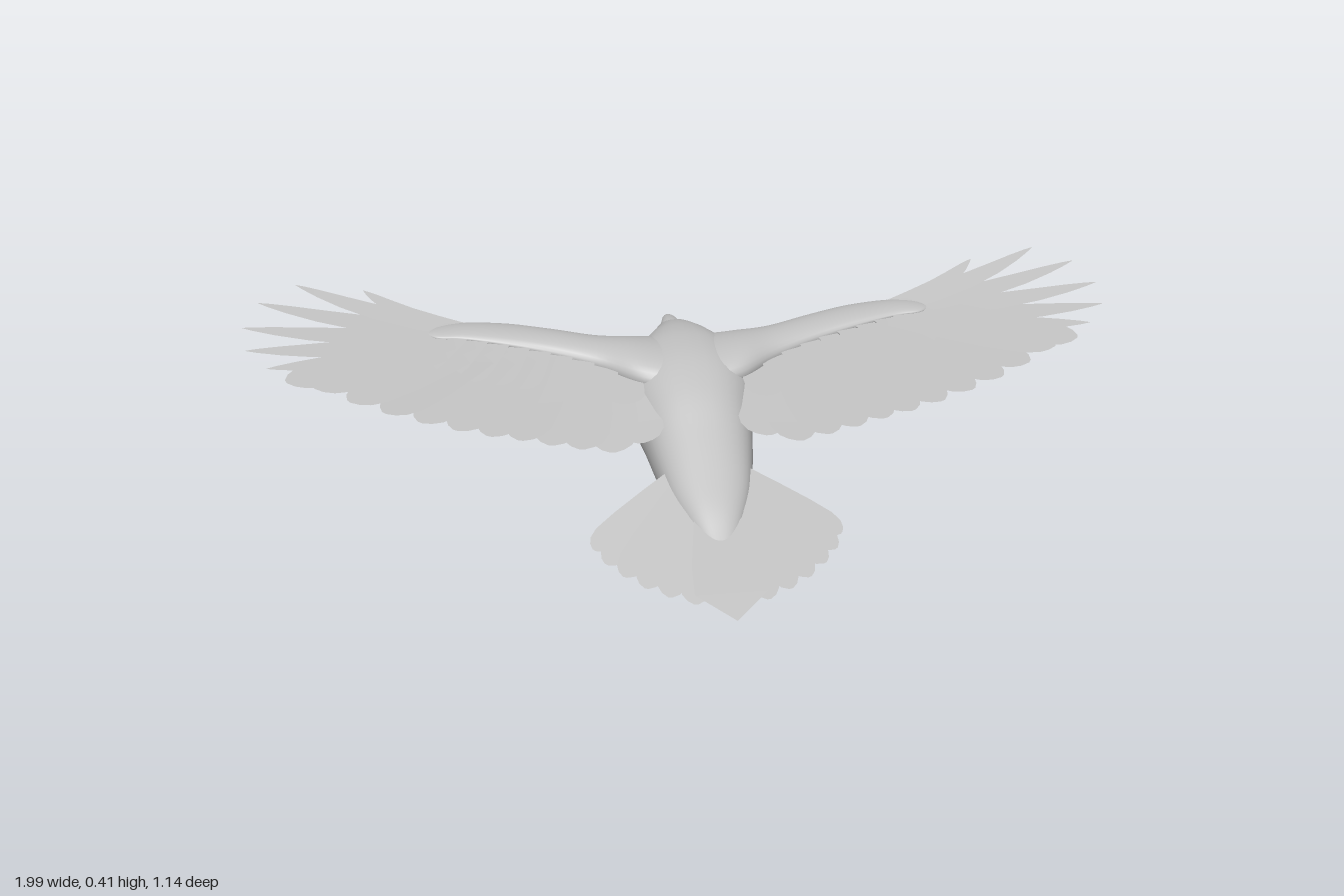
import * as THREE from 'three';

const V = (x, y, z) => new THREE.Vector3(x, y, z);
const plumage = new THREE.MeshStandardMaterial({ color: 0xc0c0c0, side: THREE.DoubleSide });
plumage.name = 'plumage grey';

function add(parent, name, geometry) {
  const mesh = new THREE.Mesh(geometry, plumage);
  mesh.name = name;
  parent.add(mesh);
  return mesh;
}

function meshFrom(pos, idx) {
  const g = new THREE.BufferGeometry();
  g.setAttribute('position', new THREE.Float32BufferAttribute(pos, 3));
  g.setIndex(idx);
  g.computeVertexNormals();
  return g;
}

// Smooth skin through oval sections [x, y, z, half width, half height], set across z or x
function loft(sections, axis, power = 1, steps = 40, sides = 28) {
  const centres = new THREE.CatmullRomCurve3(sections.map(s => V(s[0], s[1], s[2])), false, 'catmullrom');
  const radii = new THREE.CatmullRomCurve3(sections.map(s => V(s[3], s[4], 0)), false, 'catmullrom');
  const pos = [], idx = [];
  const bulge = v => Math.sign(v) * Math.abs(v) ** power;
  for (let i = 0; i <= steps; i++) {
    const c = centres.getPoint(i / steps), r = radii.getPoint(i / steps);
    for (let j = 0; j < sides; j++) {
      const a = j / sides * Math.PI * 2;
      const u = r.x * bulge(Math.cos(a)), v = r.y * bulge(Math.sin(a));
      if (axis === 'z') pos.push(c.x + u, c.y + v, c.z);
      else pos.push(c.x, c.y + v, c.z - u);
      if (i < steps) {
        const p = i * sides + j, q = i * sides + (j + 1) % sides;
        idx.push(p, p + sides, q, q, p + sides, q + sides);
      }
    }
  }
  return meshFrom(pos, idx.reverse());
}

// Flat blade outlines: [position along the feather, relative width]
const BROAD = [[0, .5], [.3, .75], [.6, .95], [.82, 1], [.92, .8], [.97, .5], [1, .12]];
const FINGER = [[0, .9], [.25, 1], [.5, .9], [.7, .7], [.85, .45], [.95, .2], [1, .02]];
const POINTED = [[0, .4], [.3, .7], [.6, .95], [.8, 1], [1, 0]];

function feather(root, tip, half, outline, normal, bend = 0, tilt = 0.06) {
  const dir = tip.clone().sub(root);
  const side = dir.clone().cross(normal).normalize();
  const drop = side.clone().cross(dir).normalize().multiplyScalar(tilt);
  const across = side.clone().add(drop);
  const pos = [], idx = [];
  outline.forEach(([t, w], i) => {
    const c = root.clone().addScaledVector(dir, t).addScaledVector(side, bend * Math.sin(t * Math.PI));
    for (const s of [-1, 1]) pos.push(...c.clone().addScaledVector(across, s * w * half).toArray());
    if (i) idx.push(2 * i - 2, 2 * i - 1, 2 * i, 2 * i, 2 * i - 1, 2 * i + 1);
  });
  return meshFrom(pos, idx);
}

function makeWing() {
  const wing = new THREE.Group();
  // Fleshy leading edge
  add(wing, 'wingArm', loft([
    [.04, .27, -.17, .125, .05], [.12, .279, -.18, .105, .048], [.2, .29, -.212, .072, .036],
    [.3, .306, -.247, .062, .028], [.4, .321, -.272, .057, .021], [.5, .333, -.283, .045, .014],
    [.56, .337, -.277, .034, .009], [.59, .338, -.272, .003, .002]], 'x'));
  const normal = V(0, 1, .27).normalize();
  // Spread finger feathers: root x, root z, tip x, y, z
  [[.51, -.29, .727, .395, -.417], [.50, -.285, .88, .415, -.423], [.50, -.275, .963, .40, -.36],
    [.50, -.265, .996, .375, -.277], [.50, -.255, .985, .355, -.192], [.50, -.25, .937, .335, -.132]]
    .forEach(([rx, rz, x, y, z], i) => add(wing, 'fingerFeather',
      feather(V(rx, .338 - i * .001, rz), V(x, y, z), .03 + i * .002, FINGER, normal, .018)));
  // Trailing feathers, fanning from the wrist in to the body
  const tips = [[.895, .32, -.09], [.835, .315, -.062], [.76, .30, -.012], [.685, .288, .032], [.61, .275, .063],
    [.535, .263, .088], [.465, .252, .105], [.40, .245, .12], [.335, .235, .133], [.27, .227, .145],
    [.205, .22, .155], [.14, .218, .115]];
  tips.forEach(([x, y, z], i) => {
    const k = i / (tips.length - 1);
    const rx = .5 - .37 * k ** 1.2;
    add(wing, 'flightFeather', feather(V(rx, .334 - .052 * k, -.24 + .1 * k), V(x, y, z),
      .05, BROAD, normal, .006));
  });
  // Short covering feathers over the flight feathers
  for (let i = 0; i < 9; i++) {
    const k = i / 8, x = .52 - .37 * k;
    add(wing, 'covertFeather', feather(V(x - .01, .337 - .045 * k, -.25 + .08 * k),
      V(x + .1 * (1 - k) + .01, .31 - .05 * k, -.12 + .12 * k), .042, BROAD, normal));
  }
  return wing;
}

function makeFoot() {
  const foot = new THREE.Group();
  const tube = (name, pts, r) =>
    add(foot, name, new THREE.TubeGeometry(new THREE.CatmullRomCurve3(pts), 16, r, 8));
  tube('leg', [V(.065, .062, .11), V(.068, .054, .07), V(.07, .048, .03), V(.07, .034, .014)], .011);
  // Curled toes with claws
  for (const s of [-1, 0, 1]) {
    const x = .07 + s * .018, y = s ? .012 : .02;
    tube('toe', [V(.07, .04, .018), V(.07 + s * .012, .026, .01), V(x, y, .03), V(x, y - .003, .075)], .0065);
    const claw = add(foot, 'claw', new THREE.ConeGeometry(.006, .035, 8));
    claw.position.set(x, y - .004, .09);
    claw.rotation.x = Math.PI / 2 + .1;
  }
  return foot;
}

export function createModel() {
  const bird = new THREE.Group();
  bird.name = 'bird';

  // Body and head in one skin: z, bottom, top, half width
  const profile = [[-.465, .218, .228, .003], [-.46, .195, .252, .026], [-.44, .187, .268, .041],
    [-.4, .178, .287, .05], [-.35, .163, .307, .062], [-.28, .138, .325, .1], [-.2, .11, .332, .135],
    [-.1, .08, .322, .142], [0, .062, .288, .124], [.1, .055, .235, .108], [.2, .055, .182, .088],
    [.28, .056, .14, .06], [.34, .06, .103, .034], [.38, .063, .08, .014], [.4, .065, .069, .002]];
  add(bird, 'body', loft(profile.map(([z, b, t, w]) => [0, (b + t) / 2, z, w, (t - b) / 2]), 'z', .88, 70, 36));

  // Open beak
  add(bird, 'upperBeak', loft([[0, .247, -.44, .026, .02], [0, .247, -.47, .023, .017],
    [0, .243, -.51, .015, .012], [0, .232, -.55, .006, .006], [0, .219, -.572, .001, .001]], 'z', 1, 16, 16));
  add(bird, 'lowerBeak', loft([[0, .206, -.44, .024, .015], [0, .204, -.47, .02, .012],
    [0, .199, -.51, .013, .008], [0, .19, -.545, .006, .004], [0, .184, -.562, .001, .001]], 'z', 1, 16, 16));

  // Wings and feet, mirrored
  for (const s of [1, -1]) {
    const wing = makeWing(), foot = makeFoot();
    wing.name = s > 0 ? 'leftWing' : 'rightWing';
    foot.name = s > 0 ? 'leftFoot' : 'rightFoot';
    wing.scale.x = foot.scale.x = s;
    bird.add(wing, foot);
  }

  // Fanned tail
  const tail = new THREE.Group();
  tail.name = 'tail';
  add(tail, 'centreTailFeather', feather(V(0, .142, .2), V(0, .032, .566), .076, POINTED, V(0, 1, .3), 0, 0));
  const tips = [[.075, .04, .505], [.125, .046, .48], [.17, .053, .45], [.21, .06, .41], [.243, .067, .365],
    [.264, .075, .315]];
  for (const s of [1, -1]) {
    const half = new THREE.Group();
    half.name = s > 0 ? 'leftTailFeathers' : 'rightTailFeathers';
    half.scale.x = s;
    tips.forEach(([x, y, z], i) => add(half, 'tailFeather',
      feather(V(.03 + i * .009, .143 + i * .003, .2 - i * .008), V(x, y, z), .036, BROAD, V(0, 1, .35))));
    tail.add(half);
  }
  bird.add(tail);
  return bird;
}
